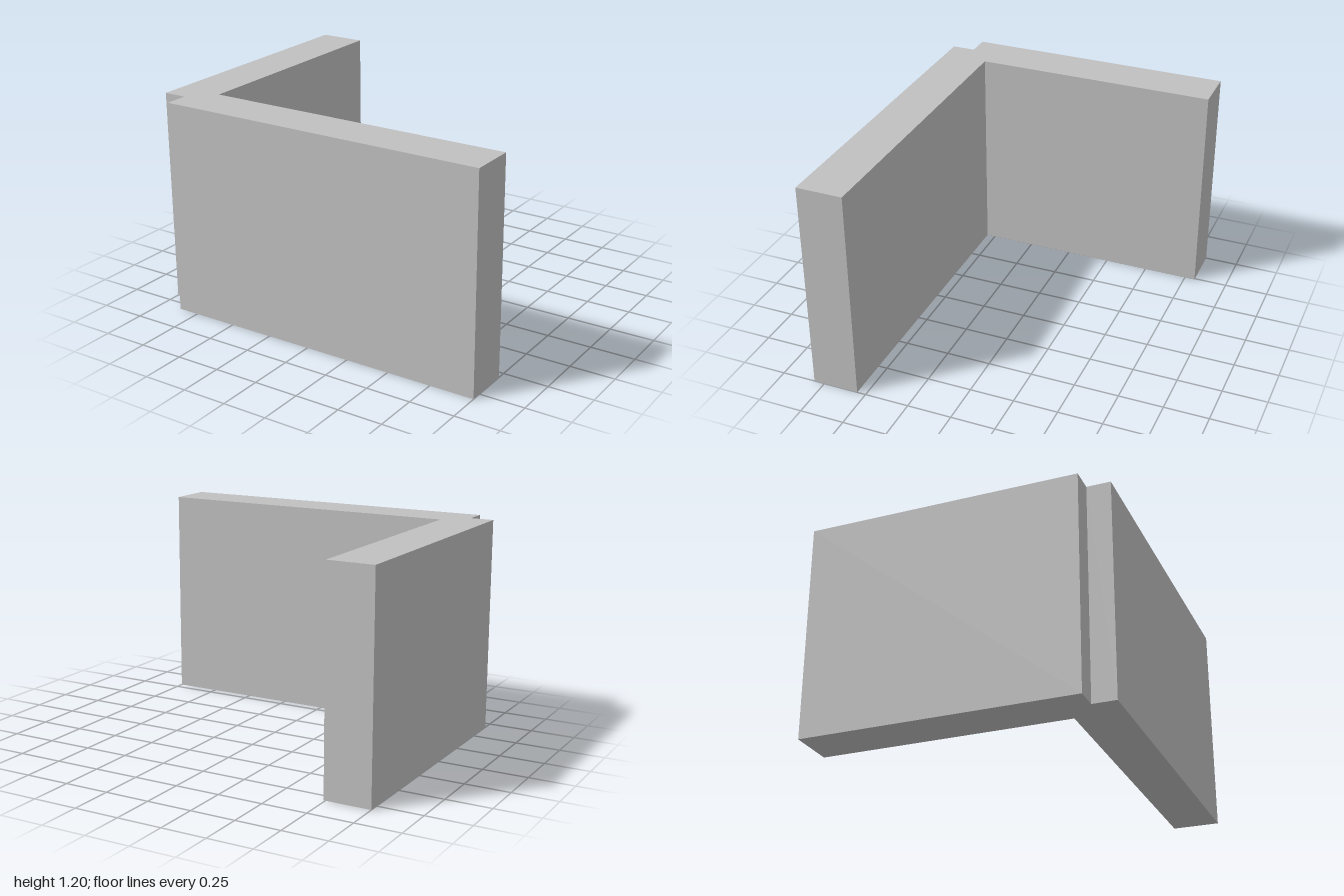
import * as THREE from 'three';

export function createModel() {
  const group = new THREE.Group();
  group.name = 'cornerWall';
  const lightGrey = new THREE.MeshStandardMaterial({ color: 0xc0c0c0 });
  lightGrey.name = 'lightGrey';

  // L-shaped floor plan as [x, z], with a small notch at the outer corner
  const plan = [
    [-0.87, 0.81], [1, 0.81], [1, 0.55], [-0.74, 0.55],
    [-0.74, -0.81], [-1, -0.81], [-1, 0.68], [-0.87, 0.68],
  ];
  const shape = new THREE.Shape(plan.map(([x, z]) => new THREE.Vector2(x, -z)));

  // Raise the plan to wall height
  const geometry = new THREE.ExtrudeGeometry(shape, { depth: 1.2, bevelEnabled: false });
  geometry.rotateX(-Math.PI / 2);
  const walls = new THREE.Mesh(geometry, lightGrey);
  walls.name = 'walls';
  group.add(walls);
  return group;
}
